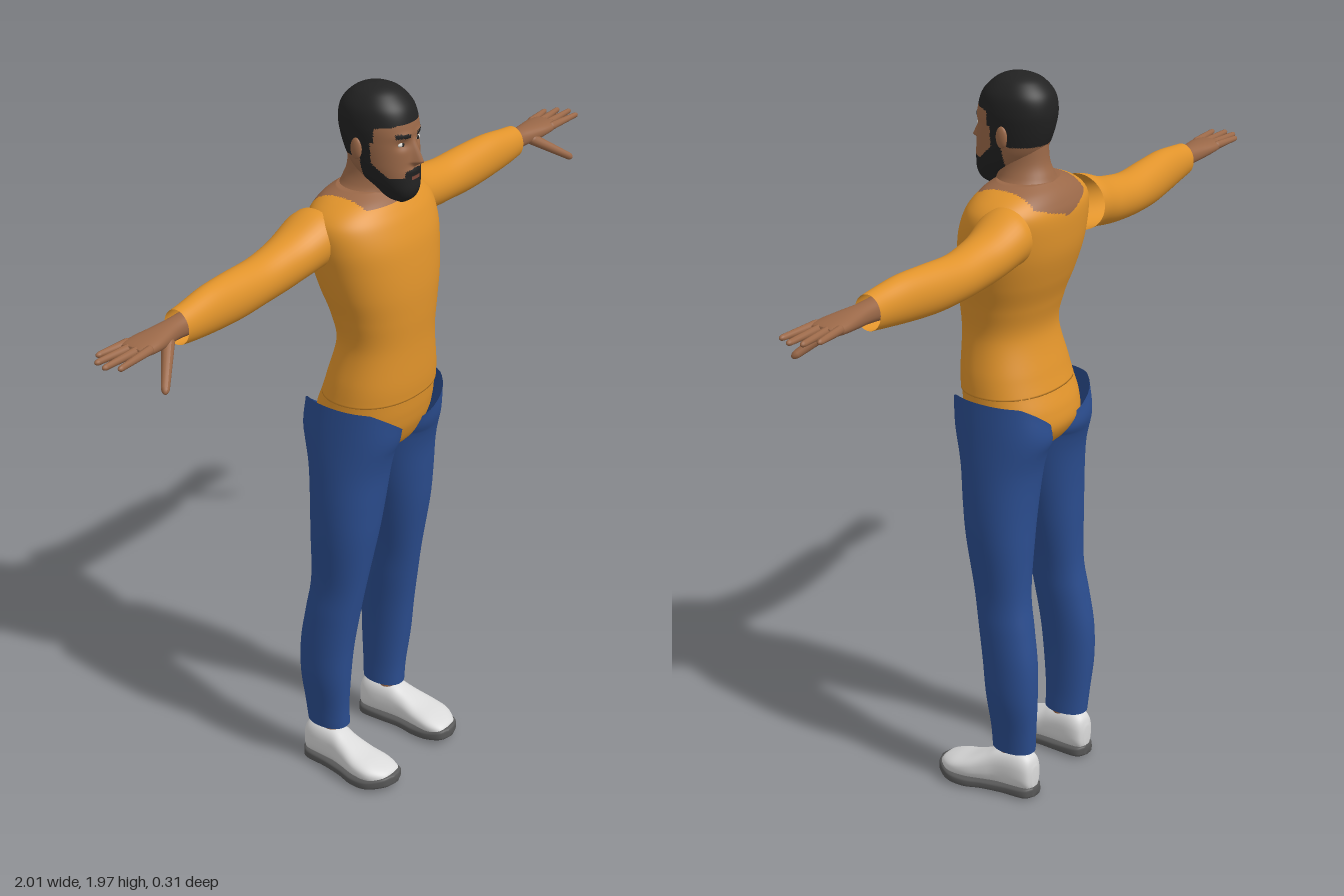
import * as THREE from 'three';

const mat = (name, color, side = THREE.FrontSide) => {
  const m = new THREE.MeshStandardMaterial({ color, side });
  m.name = name;
  return m;
};

// Axis maps: section parameter t, width a, depth b -> x, y, z
const alongY = (t, a, b) => [a, t, b];
const alongX = (t, a, b) => [t, b, a];
const alongZ = (t, a, b) => [a, b, t];

// Smooth skin through sections [t, centre of a, half-width, b min, b max]
function loft(secs, map, { seg = 40, rows = 40, exp = 2, caps = true, warp, paint } = {}) {
  const curve = new THREE.CubicInterpolant(secs.map((_, i) => i), secs.flat(), 5);
  const se = (v) => Math.sign(v) * Math.abs(v) ** (2 / exp);
  const pos = [], idx = [];
  const put = (p) => pos.push(...(warp ? warp(...p) : p));
  const ends = [];
  for (let j = 0; j <= rows; j++) {
    const [t, ac, ra, b0, b1] = Array.from(curve.evaluate((j / rows) * (secs.length - 1)));
    const w = Math.max(ra, 0.0005), h = Math.max((b1 - b0) / 2, 0.0005), bc = (b0 + b1) / 2;
    for (let i = 0; i < seg; i++) {
      const q = (i / seg) * Math.PI * 2;
      put(map(t, ac + w * se(Math.cos(q)), bc + h * se(Math.sin(q))));
    }
    if (j === 0 || j === rows) ends.push(map(t, ac, bc));
  }
  for (let j = 0; j < rows; j++) for (let i = 0; i < seg; i++) {
    const a = j * seg + i, b = j * seg + (i + 1) % seg;
    idx.push(a, a + seg, b, b, a + seg, b + seg);
  }
  if (caps) {
    const c = pos.length / 3, top = rows * seg;
    ends.forEach(put);
    for (let i = 0; i < seg; i++) {
      const n = (i + 1) % seg;
      idx.push(c, i, n, c + 1, top + n, top + i);
    }
  }
  const g = new THREE.BufferGeometry();
  g.setAttribute('position', new THREE.Float32BufferAttribute(pos, 3));
  g.setIndex(idx);
  g.computeVertexNormals();
  if (paint) {
    // Sort triangles into one group per colour
    const lists = [];
    for (let k = 0; k < idx.length; k += 3) {
      const tri = idx.slice(k, k + 3);
      const mid = [0, 1, 2].map((d) => tri.reduce((s, v) => s + pos[v * 3 + d], 0) / 3);
      (lists[paint(...mid)] ??= []).push(...tri);
    }
    let start = 0;
    lists.forEach((l, m) => { g.addGroup(start, l.length, m); start += l.length; });
    g.setIndex(lists.flat());
  }
  return g;
}

// Tapering finger between two points
function finger(from, to, r) {
  const a = new THREE.Vector3(...from), b = new THREE.Vector3(...to), d = b.clone().sub(a);
  const g = new THREE.CapsuleGeometry(r, d.length(), 6, 12);
  const p = g.attributes.position;
  for (let i = 0; i < p.count; i++) {
    const k = 1 - 0.35 * (p.getY(i) / d.length() + 0.5);
    p.setX(i, p.getX(i) * k);
    p.setZ(i, p.getZ(i) * k);
  }
  g.computeVertexNormals();
  g.applyQuaternion(new THREE.Quaternion().setFromUnitVectors(new THREE.Vector3(0, 1, 0), d.normalize()));
  return g.translate(...a.add(b).multiplyScalar(0.5).toArray());
}

function blob(x, y, z, rx, ry, rz) {
  return new THREE.SphereGeometry(1, 20, 14).scale(rx, ry, rz).translate(x, y, z);
}

function mirrored(geo) {
  const g = geo.clone().scale(-1, 1, 1), ix = g.index.array;
  for (let i = 0; i < ix.length; i += 3) [ix[i], ix[i + 1]] = [ix[i + 1], ix[i]];
  g.computeVertexNormals();
  return g;
}

export function createModel() {
  const skin = mat('skin', 0x9a6848), hair = mat('hair', 0x222222), lip = mat('lip', 0x7c4638);
  const shirt = mat('shirt', 0xe0932b, THREE.DoubleSide), jeans = mat('jeans', 0x2b4d8f, THREE.DoubleSide);
  const shoe = mat('shoe', 0xd9d9d9), sole = mat('sole', 0x585858), white = mat('eyeWhite', 0xd8d4cc);
  const model = new THREE.Group();
  model.name = 'figure';
  const add = (name, geo, m) => {
    const mesh = new THREE.Mesh(geo, m);
    mesh.name = name;
    model.add(mesh);
  };
  const pair = (name, geo, m) => {
    add(name + 'Left', geo, m);
    add(name + 'Right', mirrored(geo), m);
  };

  // Torso, with bare skin inside the low back neckline
  add('torso', loft([
    [1.15, 0, 0.172, -0.125, 0.13], [1.2, 0, 0.165, -0.11, 0.133], [1.3, 0, 0.146, -0.085, 0.133],
    [1.38, 0, 0.158, -0.1, 0.136], [1.45, 0, 0.178, -0.125, 0.136], [1.52, 0, 0.194, -0.145, 0.13],
    [1.58, 0, 0.204, -0.152, 0.12], [1.63, 0, 0.203, -0.152, 0.102], [1.66, 0, 0.185, -0.142, 0.085],
    [1.685, 0, 0.145, -0.125, 0.065], [1.705, 0, 0.09, -0.1, 0.04],
  ], alongY, {
    seg: 96, rows: 100, exp: 2.2,
    paint: (x, y, z) => +(Math.abs(x) < 0.115 &&
      (y > 1.678 || (z < -0.03 && y > 1.625 + 0.3 * Math.abs(x)))),
  }), [shirt, skin]);

  // Shirt tail tucked into the jeans
  add('shirtTail', loft([
    [0.97, 0, 0.03, -0.05, 0.03], [1.0, 0, 0.1, -0.11, 0.08], [1.05, 0, 0.16, -0.145, 0.108],
    [1.1, 0, 0.17, -0.142, 0.12], [1.155, 0, 0.168, -0.122, 0.126],
  ], alongY, { exp: 2.3 }), shirt);

  pair('sleeve', loft([
    [0.17, -0.075, 0.078, 1.525, 1.675], [0.2, -0.077, 0.078, 1.525, 1.668], [0.26, -0.08, 0.069, 1.515, 1.645],
    [0.32, -0.08, 0.061, 1.507, 1.632], [0.4, -0.08, 0.056, 1.502, 1.622], [0.5, -0.075, 0.052, 1.5, 1.626],
    [0.6, -0.068, 0.046, 1.508, 1.628], [0.68, -0.063, 0.04, 1.518, 1.62], [0.725, -0.062, 0.037, 1.525, 1.615],
  ], alongX, { caps: false }), shirt);

  // Hands
  pair('palm', loft([
    [0.68, -0.06, 0.028, 1.54, 1.6], [0.74, -0.06, 0.027, 1.547, 1.598], [0.79, -0.058, 0.034, 1.55, 1.597],
    [0.84, -0.057, 0.042, 1.556, 1.595], [0.88, -0.057, 0.042, 1.562, 1.592], [0.895, -0.057, 0.034, 1.568, 1.588],
  ], alongX, { seg: 28, rows: 24, exp: 2.3 }), skin);
  const tips = [[0.952, -0.1], [0.983, -0.077], [0.993, -0.046], [0.977, -0.014]];
  tips.forEach(([x, z], i) =>
    pair('finger' + (i + 1), finger([0.87, 1.579, -0.09 + i * 0.022], [x, 1.58, z], 0.0115), skin));
  pair('thumb', finger([0.79, 1.562, -0.035], [0.878, 1.5, 0.027], 0.016), skin);

  // Jeans, cut lower towards the middle at the waist
  pair('jeansLeg', loft([
    [0.135, 0.132, 0.044, -0.135, -0.012], [0.2, 0.137, 0.046, -0.14, -0.01], [0.3, 0.144, 0.054, -0.147, 0],
    [0.4, 0.1425, 0.0575, -0.145, 0.01], [0.5, 0.137, 0.06, -0.13, 0.025], [0.6, 0.13, 0.062, -0.115, 0.042],
    [0.75, 0.121, 0.083, -0.115, 0.068], [0.85, 0.112, 0.094, -0.118, 0.08], [0.95, 0.103, 0.098, -0.128, 0.092],
    [1.05, 0.097, 0.095, -0.152, 0.116], [1.14, 0.093, 0.089, -0.148, 0.125],
  ], alongY, {
    seg: 48, rows: 60, exp: 2.2, caps: false,
    warp: (x, y, z) => [x, y > 1 ? 1 + (y - 1) * (0.2 + 0.8 * Math.min(1, Math.max(0, x / 0.16))) : y, z],
  }), jeans);

  // Ankles and shoes
  pair('ankle', loft([
    [0.09, 0.134, 0.03, -0.1, -0.03], [0.16, 0.134, 0.028, -0.09, -0.028], [0.24, 0.136, 0.032, -0.1, -0.028],
  ], alongY, { seg: 24, rows: 10 }), skin);
  pair('shoe', loft([
    [0.15, 0.135, 0.015, 0.022, 0.04], [0.138, 0.138, 0.038, 0.02, 0.055], [0.1, 0.145, 0.056, 0.02, 0.071],
    [0.05, 0.147, 0.055, 0.02, 0.086], [0, 0.143, 0.046, 0.02, 0.108], [-0.04, 0.138, 0.042, 0.02, 0.127],
    [-0.1, 0.134, 0.042, 0.02, 0.135], [-0.132, 0.133, 0.034, 0.02, 0.12], [-0.143, 0.133, 0.015, 0.03, 0.09],
  ], alongZ, { exp: 2.5 }), shoe);
  pair('sole', loft([
    [0.157, 0.135, 0.012, 0.018, 0.042], [0.142, 0.138, 0.043, 0.012, 0.046], [0.1, 0.146, 0.062, 0.004, 0.038],
    [0.05, 0.147, 0.06, 0, 0.032], [0, 0.143, 0.05, 0.003, 0.032], [-0.06, 0.136, 0.045, 0.003, 0.033],
    [-0.125, 0.133, 0.04, 0.002, 0.035], [-0.147, 0.133, 0.018, 0.006, 0.034],
  ], alongZ, { exp: 4 }), sole);

  // Neck
  add('neck', loft([
    [1.65, 0, 0.1, -0.11, 0.04], [1.69, 0, 0.088, -0.107, 0.05], [1.715, 0, 0.07, -0.098, 0.052],
    [1.75, 0, 0.059, -0.085, 0.054], [1.81, 0, 0.056, -0.08, 0.05],
  ], alongY, { seg: 36, rows: 24 }), skin);

  // Head: nose, brows and eye sockets are raised or sunk, then hair and beard coloured
  const bump = (v, w) => Math.exp(-((v / w) ** 2));
  const nose = (y) => (y > 1.79 ? Math.max(0, 1 - (y - 1.79) / 0.062) : Math.max(0, 1 - (1.79 - y) / 0.014));
  const shape = (x, y, z) => {
    if (z < 0.03) return [x, y, z];
    const ax = Math.abs(x);
    return [x, y, z + 0.027 * bump(x, 0.007 + 0.006 * nose(y)) * nose(y)
      - 0.008 * bump(ax - 0.033, 0.016) * bump(y - 1.836, 0.012)
      + 0.004 * bump(ax - 0.03, 0.025) * bump(y - 1.859, 0.009)
      + 0.004 * bump(x, 0.03) * bump(y - 1.765, 0.009)];
  };
  const colour = (x, y, z) => {
    const ax = Math.abs(x);
    if (y > 1.888 - 0.15 * Math.max(0, ax - 0.04)) return 1;
    if ((z < 0.042 && y > 1.845) || (z < -0.015 && y > 1.795)) return 1;
    if (z < 0.0) return 0;
    if (z < 0.032 && y > 1.74) return 1;
    if (ax < 0.017 && z > 0.08 && Math.abs(y - 1.747) < 0.005) return 2;
    if (ax < 0.034 && z > 0.07 && y < 1.774 - 0.2 * ax) return 1;
    if (y < 1.752 + 0.9 * Math.max(0, 0.075 - z)) return 1;
    if (ax > 0.012 && ax < 0.053 && Math.abs(y - 1.854 - 0.15 * Math.min(ax, 0.04)) < 0.0055) return 1;
    return 0;
  };
  add('head', loft([
    [1.676, 0, 0.014, 0.06, 0.085], [1.69, 0, 0.036, 0.025, 0.105], [1.712, 0, 0.05, 0, 0.115],
    [1.74, 0, 0.065, -0.04, 0.115], [1.77, 0, 0.075, -0.068, 0.112], [1.8, 0, 0.08, -0.084, 0.11],
    [1.84, 0, 0.085, -0.097, 0.107], [1.88, 0, 0.087, -0.103, 0.104], [1.92, 0, 0.08, -0.095, 0.091],
    [1.95, 0, 0.059, -0.069, 0.063], [1.965, 0, 0.034, -0.04, 0.036], [1.971, 0, 0.004, -0.005, 0.005],
  ], alongY, { seg: 144, rows: 110, exp: 2.15, warp: shape, paint: colour }), [skin, hair, lip]);

  // Ears and eyes
  pair('ear', blob(0.086, 1.822, -0.006, 0.009, 0.028, 0.016), skin);
  pair('eye', blob(0.033, 1.837, 0.092, 0.013, 0.0055, 0.006), white);
  pair('iris', blob(0.032, 1.837, 0.0965, 0.005, 0.005, 0.0025), hair);

  return model;
}
